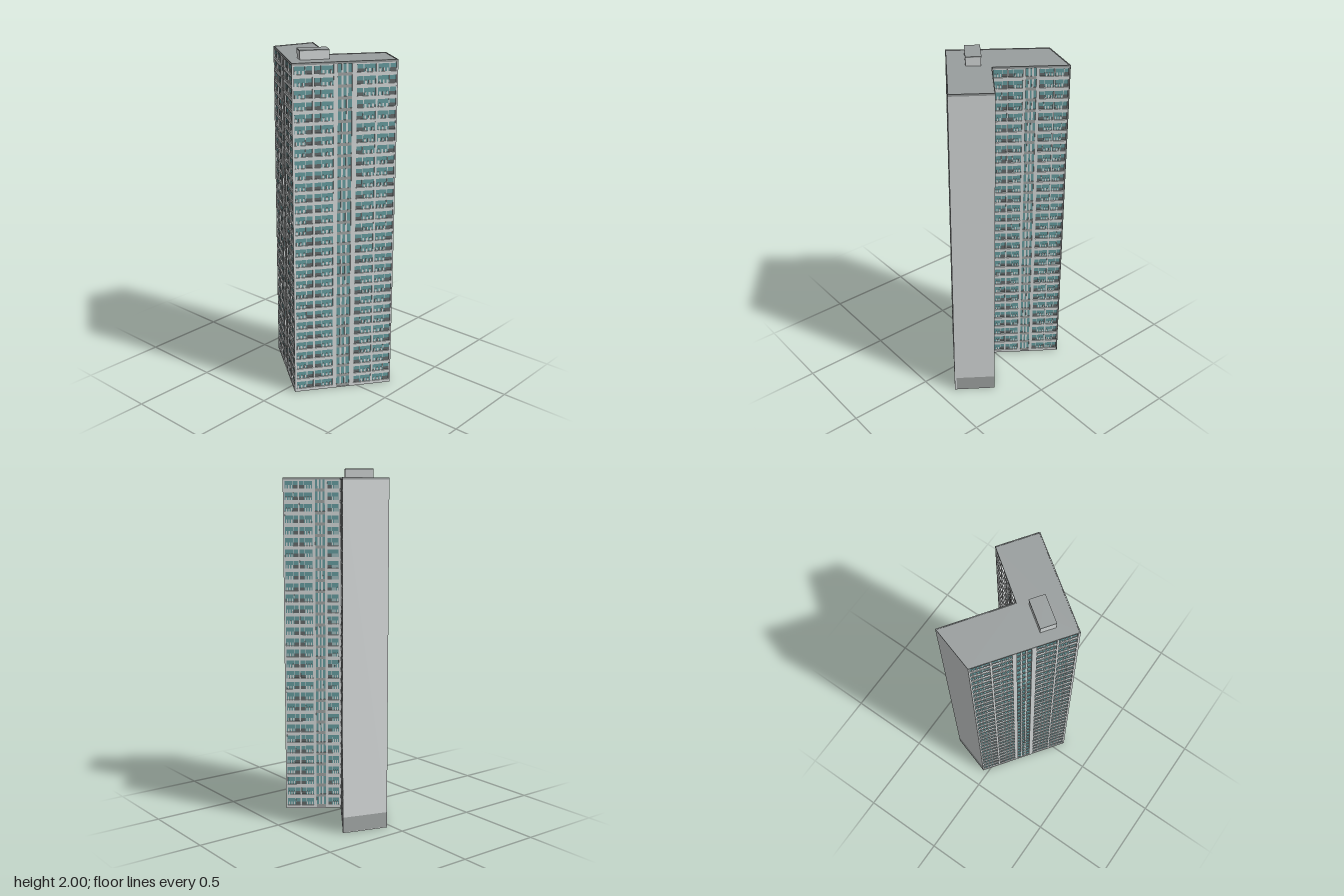
import * as THREE from 'three';
import { mergeGeometries } from 'three/addons/utils/BufferGeometryUtils.js';

const FLOORS = 30, HEIGHT = 1.95, BASE = 0.004, EAVES = HEIGHT - 0.012, DEPTH = 0.012;
const PITCH = (EAVES - BASE) / FLOORS;

// Plan corners (x, z), each wall running left to right as seen from outside
const PLAN = [[-0.403, -0.031], [0.064, 0.305], [0.403, -0.168], [0.207, -0.306], [0.015, -0.044], [-0.325, -0.284]];

// Bays as fractions of wall length; 's' marks the stairwell strip
const LONG = [[0.015, 0.19], [0.21, 0.39], [0.43, 0.565, 's'], [0.61, 0.79], [0.81, 0.985]];
const SHORT = [[0.03, 0.26], [0.285, 0.51], [0.56, 0.73, 's'], [0.775, 0.97]];

const material = (name, color) => {
  const m = new THREE.MeshStandardMaterial({ color });
  m.name = name;
  return m;
};

// Moves every wall of the plan inwards by d
function inset(points, d) {
  const n = points.length;
  return points.map((p, i) => {
    const a = points[(i + n - 1) % n], b = points[(i + 1) % n];
    const u = new THREE.Vector2(p[0] - a[0], p[1] - a[1]).normalize();
    const v = new THREE.Vector2(b[0] - p[0], b[1] - p[1]).normalize();
    const n1 = new THREE.Vector2(u.y, -u.x), n2 = new THREE.Vector2(v.y, -v.x);
    const k = d / (1 + n1.dot(n2));
    return [p[0] + (n1.x + n2.x) * k, p[1] + (n1.y + n2.y) * k];
  });
}

// Upright prism over a plan, with an optional opening
function prism(points, y0, y1, hole) {
  const flat = (list) => list.map(([x, z]) => new THREE.Vector2(x, -z));
  const shape = new THREE.Shape(flat(points));
  if (hole) shape.holes.push(new THREE.Path(flat(hole)));
  return new THREE.ExtrudeGeometry(shape, { depth: y1 - y0, bevelEnabled: false })
    .rotateX(-Math.PI / 2).translate(0, y0, 0);
}

// Box given by its limits in wall coordinates: along, up, outwards
const block = (x0, x1, y0, y1, z0, z1) =>
  new THREE.BoxGeometry(x1 - x0, y1 - y0, z1 - z0)
    .translate((x0 + x1) / 2, (y0 + y1) / 2, (z0 + z1) / 2);

export function createModel() {
  const wall = material('pale concrete', 0xdadede);
  const plinth = material('grey plinth', 0xa4a8a7);
  const roof = material('roof grey', 0x9a9f9f);
  const glass = material('teal glass', 0x68a0a3);
  const dark = material('loggia shade', 0x666c6d);

  const model = new THREE.Group();
  model.name = 'towerBlock';
  const add = (parent, name, geometry, mat) => {
    const mesh = new THREE.Mesh(geometry, mat);
    mesh.name = name;
    parent.add(mesh);
  };

  // Core, base slab, roof and its low rim
  const core = inset(PLAN, DEPTH);
  add(model, 'core', prism(core, BASE, EAVES), wall);
  add(model, 'baseSlab', prism(PLAN, 0, BASE), wall);
  add(model, 'roof', prism(PLAN, EAVES, HEIGHT - 0.003), roof);
  add(model, 'roofRim', prism(PLAN, HEIGHT - 0.003, HEIGHT, inset(PLAN, 0.005)), roof);

  // Blank end walls, mitred at the corners, with a darker plinth
  for (const [i, name] of [[2, 'leftEnd'], [5, 'rightEnd']]) {
    const j = (i + 1) % PLAN.length;
    const strip = [PLAN[i], PLAN[j], core[j], core[i]];
    add(model, name + 'Wall', prism(strip, 0.09, EAVES), wall);
    add(model, name + 'Plinth', prism(strip, BASE, 0.09), plinth);
  }

  // Window wall in its own frame: x along it, z outwards
  function facade(i, name, bays, end = 1) {
    const [ax, az] = PLAN[i], [bx, bz] = PLAN[(i + 1) % PLAN.length];
    const length = Math.hypot(bx - ax, bz - az);
    const group = new THREE.Group();
    group.name = name;
    group.position.set(ax, 0, az);
    group.rotation.y = Math.atan2(az - bz, bx - ax);
    model.add(group);
    const piers = [], bands = [], panes = [], shades = [], spandrels = [];

    // Full-height piers between the bays
    let edge = 0;
    for (const [a, b] of [...bays, [end, end]]) {
      piers.push(block(edge * length, a * length, BASE, EAVES, -DEPTH, 0));
      edge = b;
    }

    for (let f = 0; f < FLOORS; f++) {
      const y = f * PITCH + BASE, top = y + PITCH;
      bays.forEach(([a, b, stair], k) => {
        const x0 = a * length, x1 = b * length, w = x1 - x0;
        if (stair) {
          // Tall stair window with two mullions over a grey spandrel
          spandrels.push(block(x0, x1, y, y + 0.017, -DEPTH, -0.004));
          panes.push(block(x0, x1, y + 0.017, top, -DEPTH, -0.007));
          for (const t of [0.33, 0.67]) {
            const x = x0 + w * t;
            bands.push(block(x - 0.005, x + 0.005, y + 0.017, top, -DEPTH, -0.004));
          }
          return;
        }
        // Slab and lintel, mirrored openings in alternate bays
        const flip = k % 2 === 1;
        const at = (s, t) => (flip ? [x1 - w * t, x1 - w * s] : [x0 + w * s, x0 + w * t]);
        bands.push(block(x0, x1, y, y + 0.015, -DEPTH, 0));
        bands.push(block(x0, x1, y + 0.058, top, -DEPTH, -0.003));
        // Glazing, with a shaded balcony opening at one side
        panes.push(block(...at(0, 0.64), y + 0.015, y + 0.058, -DEPTH, -0.007));
        panes.push(block(...at(0.64, 1), y + 0.034, y + 0.058, -DEPTH, -0.007));
        shades.push(block(...at(0.64, 1), y + 0.015, y + 0.034, -DEPTH, -0.007));
        // Low balustrade posts and a window mullion
        for (const t of [0.08, 0.28, 0.48]) {
          bands.push(block(...at(t, t + 0.09), y + 0.015, y + 0.034, -DEPTH, -0.004));
        }
        bands.push(block(...at(0.62, 0.66), y + 0.034, y + 0.058, -DEPTH, -0.005));
      });
    }
    add(group, 'piers', mergeGeometries(piers), wall);
    add(group, 'slabsAndPosts', mergeGeometries(bands), wall);
    add(group, 'windows', mergeGeometries(panes), glass);
    add(group, 'loggias', mergeGeometries(shades), dark);
    add(group, 'stairSpandrels', mergeGeometries(spandrels), plinth);
  }
  facade(0, 'frontRightFacade', LONG);
  facade(1, 'frontLeftFacade', LONG);
  facade(3, 'backLeftFacade', SHORT);
  facade(4, 'backRightFacade', LONG, 0.99);

  // Rooftop plant room with a thin cap
  const plant = new THREE.Group();
  plant.name = 'plantRoom';
  plant.position.set(0.031, HEIGHT - 0.004, 0.103);
  plant.rotation.y = -0.621;
  add(plant, 'plantWalls', block(-0.042, 0.042, 0, 0.048, -0.081, 0.081), wall);
  add(plant, 'plantCap', block(-0.0435, 0.0435, 0.048, 0.054, -0.0825, 0.0825), roof);
  model.add(plant);

  return model;
}
